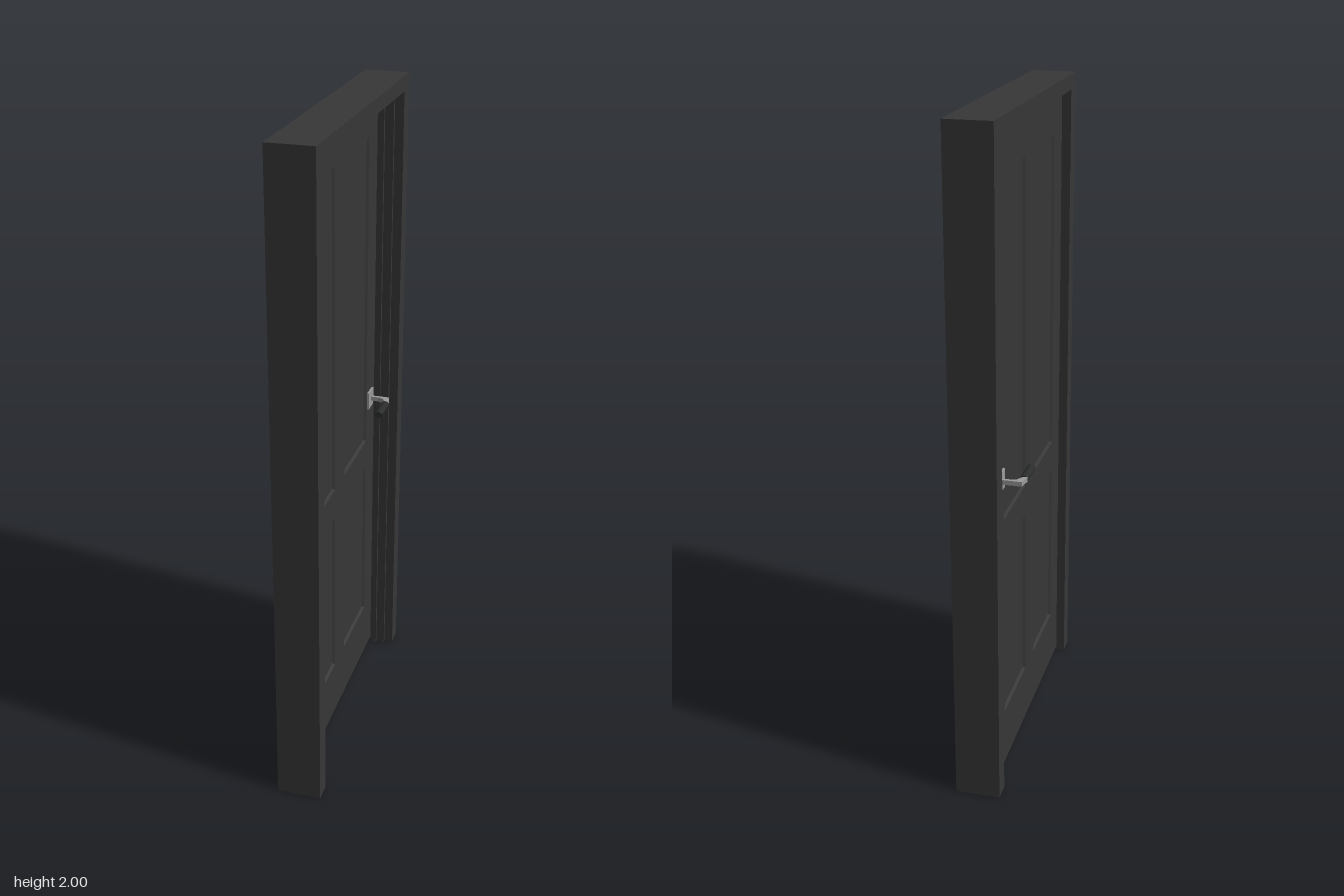
import * as THREE from 'three';

const paint = new THREE.MeshStandardMaterial({ color: 0x373737 });
paint.name = 'darkPaint';
const metal = new THREE.MeshStandardMaterial({ color: 0x9a9a9a });
metal.name = 'brushedMetal';
const gripMat = new THREE.MeshStandardMaterial({ color: 0x2b2d2c });
gripMat.name = 'darkGrip';

function add(parent, name, geometry, material) {
  const mesh = new THREE.Mesh(geometry, material);
  mesh.name = name;
  parent.add(mesh);
  return mesh;
}

function polygon(points, Type = THREE.Shape) {
  return new Type(points.map(([x, y]) => new THREE.Vector2(x, y)));
}

// Extrudes an upright outline along +x, from x0 to x1
function slab(shape, x0, x1, options = { bevelEnabled: false }) {
  return new THREE.ExtrudeGeometry(shape, { depth: x1 - x0, ...options })
    .rotateY(Math.PI / 2).translate(x0, 0, 0);
}

// Upside-down U: two jambs and a head around an opening
function surround(halfOpening, openingTop) {
  const w = 0.455;
  return polygon([[-w, 0], [-halfOpening, 0], [-halfOpening, openingTop], [halfOpening, openingTop],
    [halfOpening, 0], [w, 0], [w, 2], [-w, 2]]);
}

function makeHandle() {
  // Faces +x, origin on the door face at the spindle; the lever points to +z
  const handle = new THREE.Group();
  const rose = add(handle, 'rose', new THREE.BoxGeometry(0.006, 0.057, 0.053), metal);
  rose.position.set(0.003, 0, 0.004);

  // Bent neck, drawn in plan and given a height
  const plan = polygon([[0, 0.005], [0, -0.005], [0.064, -0.005], [0.071, 0.034],
    [0.057, 0.03], [0.047, 0.011], [0.03, 0.005]]);
  const neck = new THREE.ExtrudeGeometry(plan, { depth: 0.014, bevelEnabled: false })
    .rotateX(Math.PI / 2).translate(0, 0.007, 0);
  add(handle, 'neck', neck, metal);

  const grip = add(handle, 'grip', new THREE.CylinderGeometry(0.0125, 0.0125, 0.085, 16), gripMat);
  grip.rotation.x = Math.PI / 2;
  grip.scale.z = 0.8;
  grip.position.set(0.0605, 0, 0.074);
  return handle;
}

export function createModel() {
  const model = new THREE.Group();
  model.name = 'door';

  // Frame in layers through the wall, stepping in to the door stop
  const frame = new THREE.Group();
  frame.name = 'frame';
  model.add(frame);
  [
    ['rebate', -0.045, 0.015, 0.4, 1.955],
    ['stop', 0.015, 0.035, 0.38, 1.932],
    ['stopStep', 0.035, 0.062, 0.39, 1.945],
    ['casing', 0.062, 0.09, 0.4, 1.955],
  ].forEach(([name, x0, x1, half, top]) => add(frame, name, slab(surround(half, top), x0, x1), paint));

  // Leaf with four openings whose edges are bevelled on both faces
  const leaf = new THREE.Group();
  leaf.name = 'leaf';
  model.add(leaf);
  const bevel = 0.008, x0 = -0.02, x1 = 0.014;
  const outline = polygon([[-0.388, 0.02], [0.388, 0.02], [0.388, 1.942], [-0.388, 1.942]]);
  const rows = [[0.2, 0.75], [0.845, 1.84]];
  for (const [y0, y1] of rows) {
    for (const side of [-1, 1]) {
      const a = side < 0 ? -0.295 : 0.05;
      const b = a + 0.245;
      outline.holes.push(polygon([[a, y0], [a, y1], [b, y1], [b, y0]], THREE.Path));
      // Thin panel filling the opening
      const panel = add(leaf, 'panel', new THREE.BoxGeometry(0.018, y1 - y0, 0.245), paint);
      panel.position.set((x0 + x1) / 2, (y0 + y1) / 2, -(a + b) / 2);
    }
  }
  add(leaf, 'stilesAndRails', slab(outline, x0 + bevel, x1 - bevel, {
    bevelEnabled: true, bevelThickness: bevel, bevelSize: 0.006, bevelSegments: 1,
  }), paint);

  // Lever handles on both faces
  const inner = makeHandle();
  inner.name = 'innerHandle';
  inner.position.set(x1, 0.984, -0.332);
  const outer = makeHandle();
  outer.name = 'outerHandle';
  outer.position.set(x0, 0.984, -0.332);
  outer.scale.x = -1;
  model.add(inner, outer);

  return model;
}
